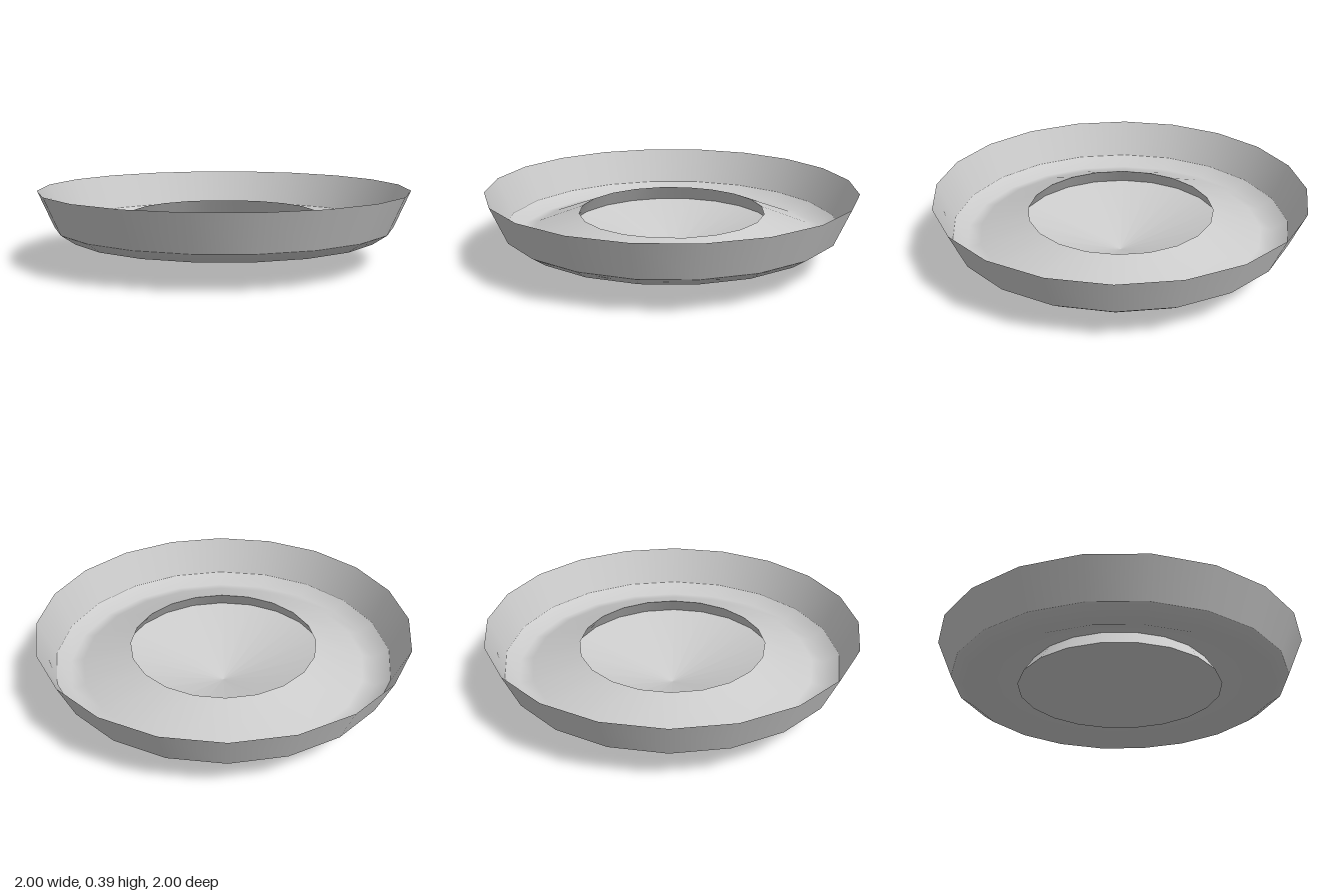
import * as THREE from 'three';

const SIDES = 20;

export function createModel() {
  const group = new THREE.Group();
  group.name = 'dish';
  const material = new THREE.MeshStandardMaterial({ color: 0xcccccc, side: THREE.DoubleSide });

  // Turned section: smooth inside a section, sharp where sections meet
  const turn = (name, profile) => {
    const points = profile.map(([r, y]) => new THREE.Vector2(r, y));
    const mesh = new THREE.Mesh(new THREE.LatheGeometry(points, SIDES), material);
    mesh.name = name;
    group.add(mesh);
  };

  // Shallow cone hanging below the middle
  turn('baseCone', [[0, 0], [0.56, 0.168]]);
  // Undercut collar joining the cone to the raised floor opening
  turn('collar', [[0.56, 0.168], [0.505, 0.254]]);
  // Floor falling outward to a rounded gutter
  turn('floor', [[0.505, 0.254], [0.77, 0.15], [0.84, 0.138], [0.915, 0.19]]);
  // Flared outer wall, open at the top
  turn('wall', [[0.915, 0.19], [1, 0.387]]);

  return group;
}
